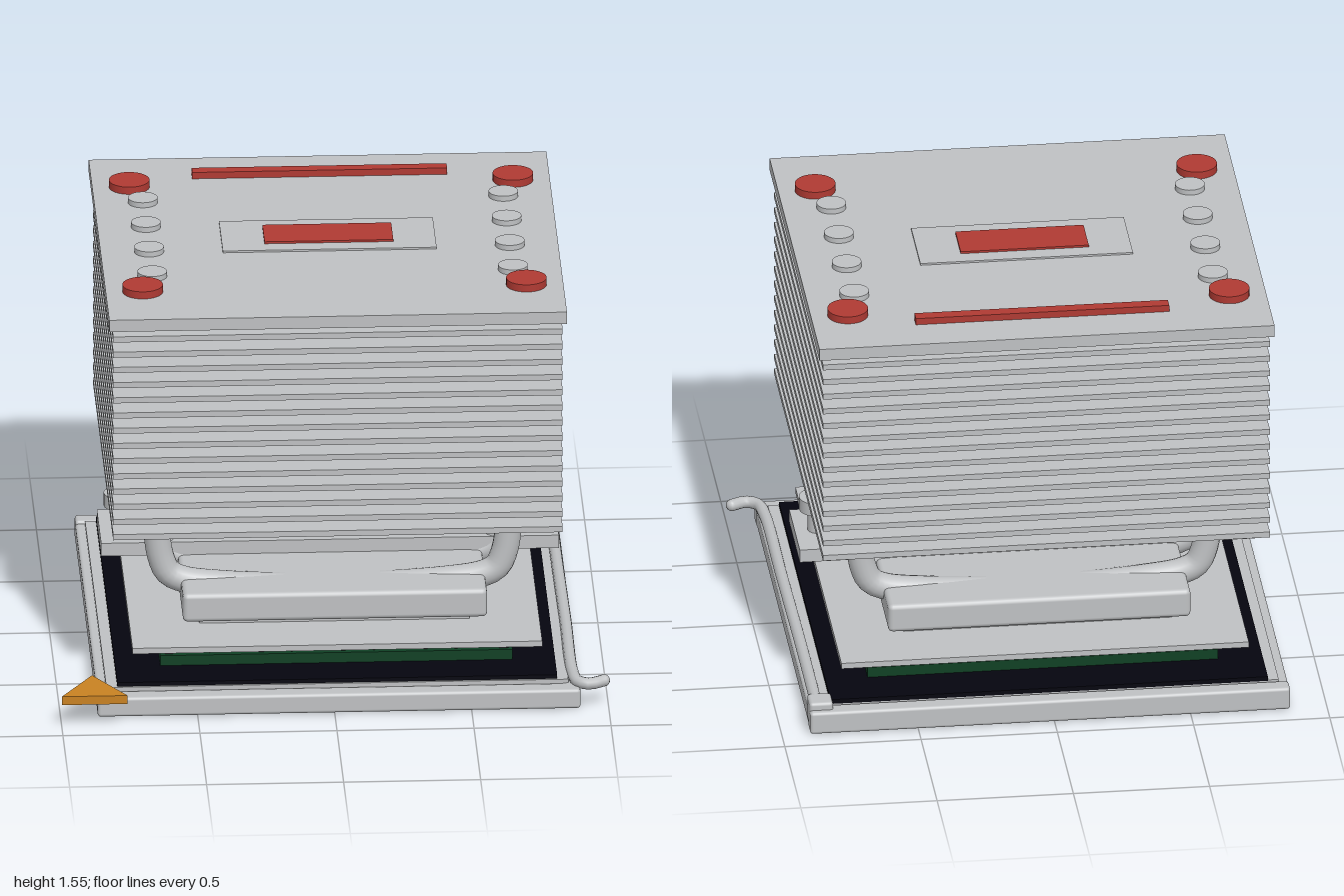
import * as THREE from 'three';
import { RoundedBoxGeometry } from 'three/addons/geometries/RoundedBoxGeometry.js';

const material = (name, color) => Object.assign(new THREE.MeshStandardMaterial({ color }), { name });

export function createModel() {
  const metal = material('brushed metal', 0xbfc1c3);
  const red = material('red marker', 0xb03a33);
  const gold = material('gold marker', 0xc98222);
  const green = material('circuit green', 0x0f4024);
  const navy = material('socket navy', 0x05050f);
  const black = material('black', 0x101012);

  const root = new THREE.Group();
  root.name = 'processorCooler';
  const CX = 0.017, CZ = -0.043; // axis shared by the cooler and the socket

  const add = (name, geo, mat, x = 0, y = 0, z = 0) => {
    const mesh = new THREE.Mesh(geo, mat);
    mesh.name = name;
    mesh.position.set(x, y, z);
    root.add(mesh);
    return mesh;
  };
  // box given by its extents; r rounds the edges
  const box = (name, mat, x0, x1, y0, y1, z0, z1, r = 0) => {
    const s = [x1 - x0, y1 - y0, z1 - z0];
    const geo = r ? new RoundedBoxGeometry(...s, 2, r) : new THREE.BoxGeometry(...s);
    return add(name, geo, mat, (x0 + x1) / 2, (y0 + y1) / 2, (z0 + z1) / 2);
  };
  // box centred on the shared axis
  const slab = (name, mat, w, y0, y1, d, r = 0) =>
    box(name, mat, CX - w / 2, CX + w / 2, y0, y1, CZ - d / 2, CZ + d / 2, r);
  const disc = (name, mat, radius, y0, y1, x, z) =>
    add(name, new THREE.CylinderGeometry(radius, radius, y1 - y0, 32), mat, x, (y0 + y1) / 2, z);
  // flat triangle with its tip towards the back
  const triangle = (name, x, halfWidth, zTip, zBase, y0, y1) => {
    const shape = new THREE.Shape([
      new THREE.Vector2(x - halfWidth, -zBase),
      new THREE.Vector2(x + halfWidth, -zBase),
      new THREE.Vector2(x, -zTip),
    ]);
    const geo = new THREE.ExtrudeGeometry(shape, { depth: y1 - y0, bevelEnabled: false });
    add(name, geo.rotateX(-Math.PI / 2), gold, 0, y0, 0);
  };

  // socket frame
  box('frameFront', metal, -0.865, 0.897, 0.003, 0.078, 0.765, 0.838, 0.012);
  box('frameBack', metal, -0.865, 0.897, 0.003, 0.09, -0.923, -0.855, 0.012);
  box('frameLeft', metal, 0.83, 0.895, 0.004, 0.078, -0.9, 0.82, 0.012);
  box('frameRight', metal, -0.865, -0.8, 0.004, 0.078, -0.9, 0.82, 0.012);
  box('hingePost', metal, 0.81, 0.897, 0.02, 0.118, -0.9, -0.812, 0.012);
  box('innerRim', metal, -0.83, 0.855, 0.02, 0.092, -0.85, 0.768);
  box('socketTop', navy, -0.79, 0.815, 0.09, 0.107, -0.853, 0.76);
  box('socketUnderside', navy, -0.835, 0.865, 0, 0.03, -0.895, 0.808);

  // locking lever with its bent handle
  const leverPath = new THREE.CatmullRomCurve3([
    [0.868, 0.098, -0.83], [0.868, 0.098, -0.4], [0.872, 0.095, 0.2], [0.875, 0.09, 0.7],
    [0.89, 0.09, 0.785], [0.93, 0.09, 0.81], [0.985, 0.092, 0.785],
  ].map(p => new THREE.Vector3(...p)));
  add('lever', new THREE.TubeGeometry(leverPath, 80, 0.022, 12), metal);
  add('leverTip', new THREE.SphereGeometry(0.022, 12, 8), metal, 0.985, 0.092, 0.785);
  triangle('cornerMarker', -0.88, 0.12, 0.715, 0.918, 0.087, 0.12);

  // processor: circuit board, small chips around its edge, stepped lid
  slab('circuitBoard', green, 1.285, 0.107, 0.146, 1.29);
  for (let i = 0; i < 8; i++) {
    const t = -0.42 + i * 0.149;
    for (const s of [-1, 1]) {
      const z = CZ + s * 0.61, x = CX + s * 0.61;
      box('edgeChip', black, t - 0.025, t + 0.025, 0.145, 0.157, z - 0.015, z + 0.015);
      box('edgeChip', black, x - 0.015, x + 0.015, 0.145, 0.157, t - 0.085, t - 0.035);
    }
  }
  triangle('boardMarker', -0.555, 0.075, 0.455, 0.58, 0.146, 0.166);
  slab('lidBase', metal, 1.13, 0.146, 0.187, 1.115);
  slab('lidFlange', metal, 1.495, 0.185, 0.207, 1.44);
  slab('lidTop', metal, 0.985, 0.205, 0.237, 0.975);

  // cooler base and clamp bar
  slab('baseBlock', metal, 1.11, 0.235, 0.345, 1.105, 0.018);
  slab('clampBar', metal, 1.67, 0.347, 0.397, 0.33);

  // clamp screws with crossed slots
  for (const s of [-1, 1]) {
    const x = CX + s * 0.748;
    disc('screwShaft', metal, 0.04, 0.395, 0.485, x, CZ);
    disc('screwHead', metal, 0.07, 0.48, 0.53, x, CZ);
    for (const turn of [Math.PI / 4, -Math.PI / 4]) {
      const slot = add('screwSlot', new THREE.BoxGeometry(0.09, 0.004, 0.022), black, x, 0.531, CZ);
      slot.rotation.y = turn;
    }
  }

  // heat pipes: out of the block, round the bend and up through the fins
  for (const s of [-1, 1]) {
    const pipePath = new THREE.CatmullRomCurve3([
      [0.1, 0.293], [0.4, 0.31], [0.55, 0.332], [0.6, 0.36], [0.627, 0.42],
      [0.645, 0.55], [0.655, 0.7], [0.662, 1.0], [0.662, 1.54],
    ].map(([x, y]) => new THREE.Vector3(CX + s * x, y, 0)), false, 'centripetal');
    const pipe = new THREE.TubeGeometry(pipePath, 70, 0.049, 18);
    for (let i = 0; i < 4; i++) {
      const z = CZ + (i - 1.5) * 0.239;
      add('heatPipe', pipe, metal, 0, 0, z);
      disc('pipeCap', metal, 0.054, 1.5, 1.543, CX + s * 0.658, z);
    }
  }

  // cooling fins and top plate
  for (let i = 0; i < 14; i++) {
    const y = 0.662 + i * 0.0598;
    slab('fin', metal, 1.64, y - 0.011, y + 0.011, 1.525);
  }
  slab('topPlate', metal, 1.67, 1.477, 1.523, 1.56);

  // raised details on the top plate
  slab('badgePlate', metal, 0.78, 1.52, 1.53, 0.29);
  slab('badge', red, 0.47, 1.528, 1.538, 0.165);
  box('backStripe', red, -0.45, 0.48, 1.52, 1.548, -0.665, -0.62);
  for (const x of [-0.683, 0.717])
    for (const z of [-0.555, 0.462]) disc('cornerButton', red, 0.074, 1.52, 1.551, x, z);

  return root;
}
